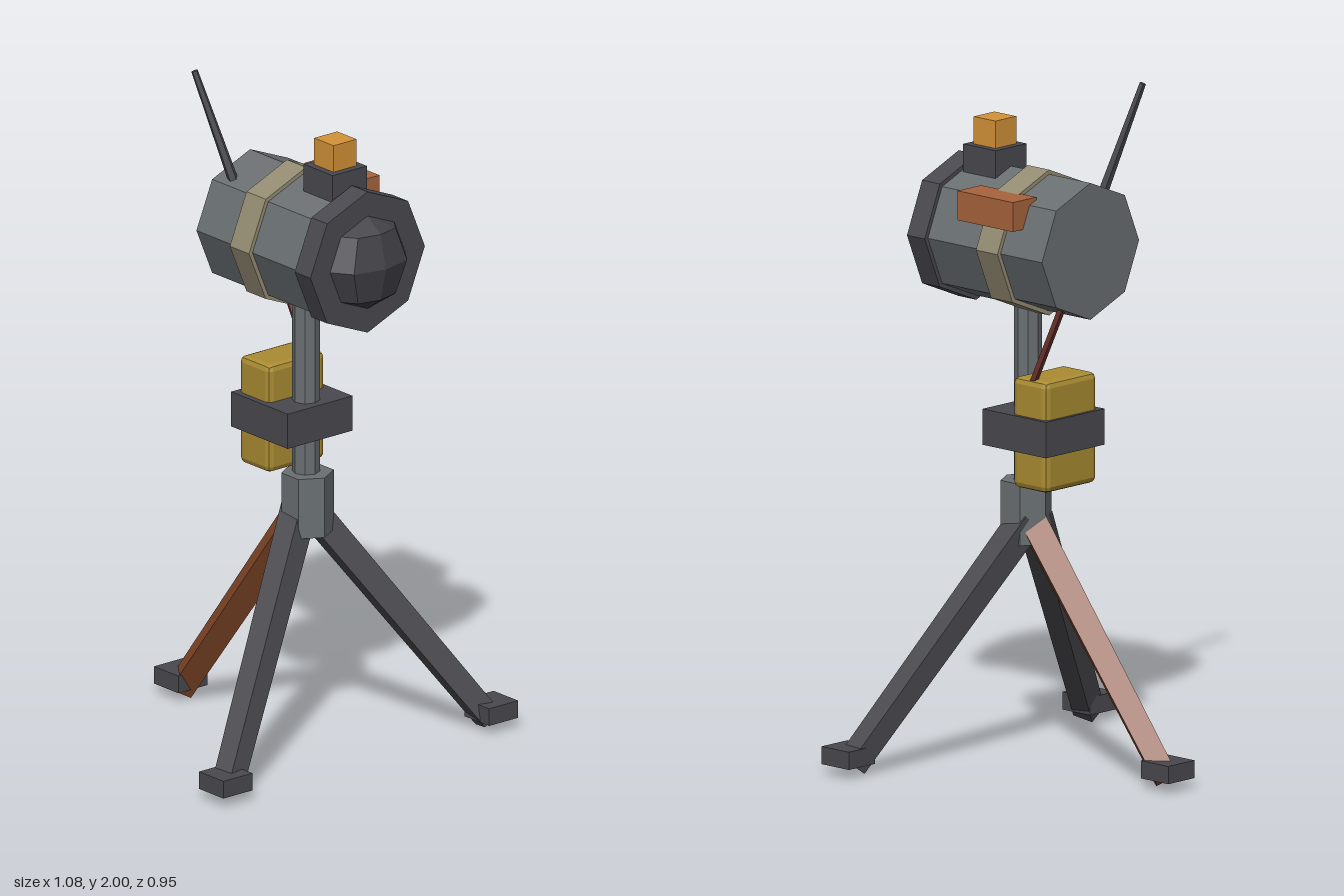
import * as THREE from 'three';
import { RoundedBoxGeometry } from 'three/addons/geometries/RoundedBoxGeometry.js';

const paint = (name, color) => {
  const m = new THREE.MeshStandardMaterial({ color, flatShading: true });
  m.name = name;
  return m;
};

export function createModel() {
  const model = new THREE.Group();
  model.name = 'tripodDevice';

  const steel = paint('steel grey', 0x6a6f72);
  const dark = paint('dark grey', 0x4a494f);
  const lensDark = paint('lens charcoal', 0x434248);
  const legGrey = paint('leg grey', 0x4e4e53);
  const amber = paint('amber', 0xd49238);
  const rust = paint('rust', 0xa8643c);
  const brown = paint('rusted leg brown', 0x874a29);
  const yellow = paint('mustard yellow', 0xaa8c32);
  const beige = paint('beige', 0x948c72);
  const red = paint('cable red', 0x6a302a);

  const add = (name, geometry, material, x = 0, y = 0, z = 0) => {
    const mesh = new THREE.Mesh(geometry, material);
    mesh.name = name;
    mesh.position.set(x, y, z);
    model.add(mesh);
    return mesh;
  };
  const box = (name, material, size, pos) =>
    add(name, new THREE.BoxGeometry(...size), material, ...pos);
  // Octagonal drum lying along z between two depths
  const drum = (name, material, radius, z0, z1) =>
    add(name, new THREE.CylinderGeometry(radius, radius, z1 - z0, 8).rotateX(Math.PI / 2),
      material, 0, 1.53, (z0 + z1) / 2);
  // Tapered rod from point a to point b
  const rod = (name, material, a, b, ra, rb, sides) => {
    const from = new THREE.Vector3(...a), to = new THREE.Vector3(...b);
    const dir = to.clone().sub(from);
    const mid = from.clone().add(to).multiplyScalar(0.5);
    const mesh = add(name, new THREE.CylinderGeometry(rb, ra, dir.length(), sides),
      material, mid.x, mid.y, mid.z);
    mesh.quaternion.setFromUnitVectors(new THREE.Vector3(0, 1, 0), dir.normalize());
    return mesh;
  };

  // Head: drum, strap ring, front collar and faceted lens
  drum('body', steel, 0.2, -0.13, 0.33);
  drum('bodyBand', beige, 0.213, 0.033, 0.118);
  drum('frontCollar', dark, 0.213, 0.32, 0.39);
  add('lens', new THREE.SphereGeometry(0.14, 8, 4).scale(1, 1, 0.58), lensDark, 0, 1.53, 0.39);

  // Parts mounted on the head
  box('lampBase', dark, [0.128, 0.1, 0.128], [0, 1.735, 0.247]);
  box('lamp', amber, [0.086, 0.082, 0.086], [0, 1.824, 0.247]);
  box('sideBox', rust, [0.097, 0.086, 0.218], [0.162, 1.648, 0.084]);
  rod('antenna', dark, [-0.105, 1.65, -0.065], [-0.177, 1.998, -0.166], 0.016, 0.01, 5);

  // Post and hub
  add('post', new THREE.CylinderGeometry(0.04, 0.04, 0.66, 8), steel, 0, 1.08, 0.117);
  add('hub', new THREE.CylinderGeometry(0.076, 0.076, 0.18, 6), steel, 0, 0.735, 0.124);

  // Power pack strapped to the post
  add('powerPack', new RoundedBoxGeometry(0.212, 0.325, 0.135, 1, 0.018), yellow, 0.003, 0.988, 0.008);
  box('packStrap', dark, [0.242, 0.105, 0.25], [0, 0.988, 0.055]);
  rod('cable', red, [0.095, 1.12, 0.016], [0.064, 1.41, -0.098], 0.012, 0.012, 5);

  // Tripod legs with square feet
  const legs = [
    ['right', legGrey, -0.489, 0.343],
    ['left', legGrey, 0.486, 0.36],
    ['back', brown, -0.013, -0.422],
  ];
  for (const [side, material, x, z] of legs) {
    rod(side + 'Leg', material, [x * 0.03, 0.715, 0.105], [x * 0.985, 0.032, z * 0.985], 0.053, 0.046, 4);
    box(side + 'Foot', dark, [0.108, 0.052, 0.108], [x, 0.06, z]);
  }

  return model;
}
